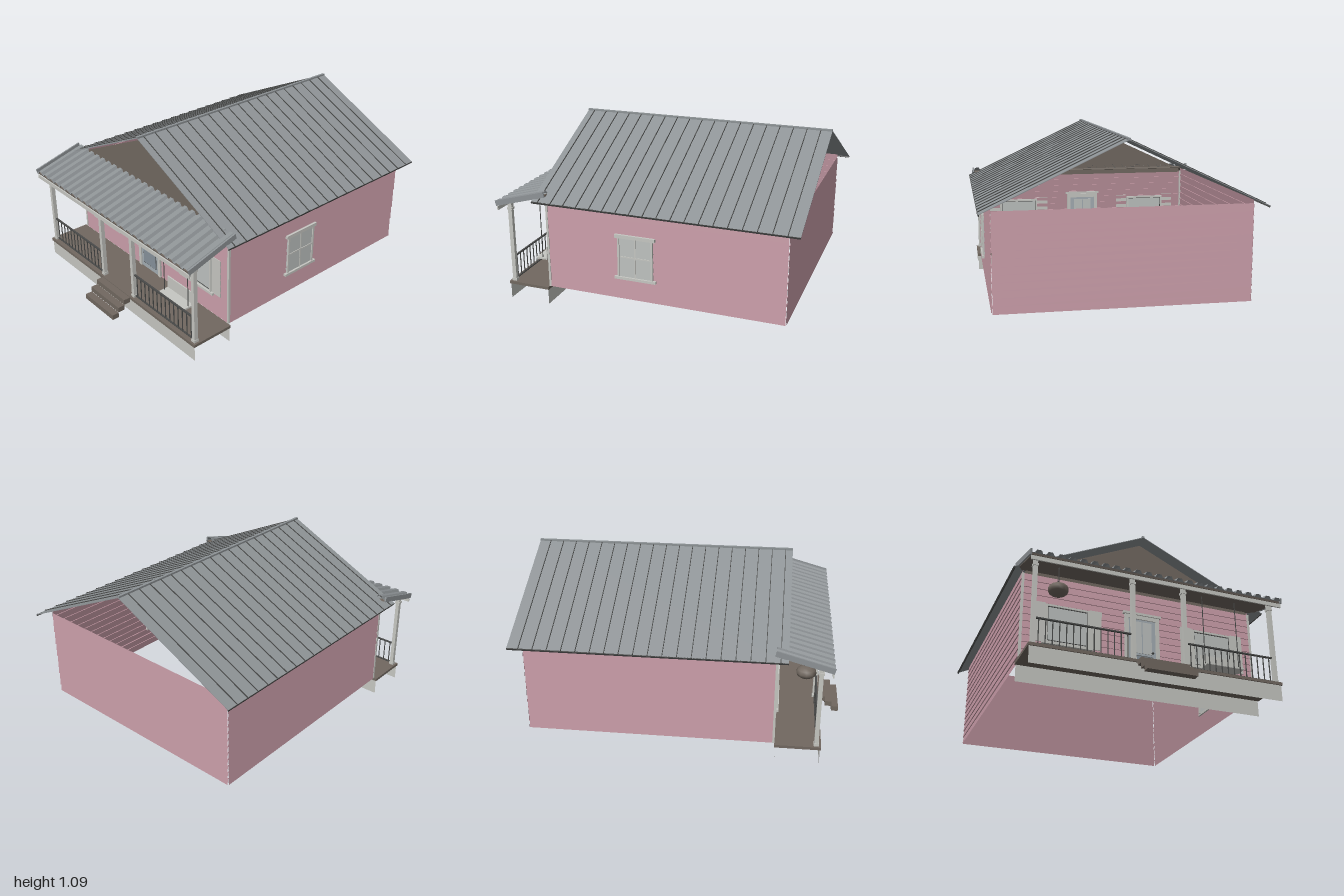
import * as THREE from 'three';

const mat = (name, color, side = THREE.FrontSide) => {
  const m = new THREE.MeshStandardMaterial({ color, side });
  m.name = name;
  return m;
};

export function createModel() {
  const root = new THREE.Group();
  root.name = 'house';
  const pink = mat('pinkSiding', 0xc398a3, THREE.DoubleSide);
  const cream = mat('paleTrim', 0xc6c7c2, THREE.DoubleSide);
  const metal = mat('roofMetal', 0x8e9396, THREE.DoubleSide);
  const dark = mat('darkMetal', 0x4a4b4a);
  const brown = mat('brownWood', 0x716860, THREE.DoubleSide);
  const doorBlue = mat('doorBlueGrey', 0xa4adb3);
  const panelBlue = mat('doorPanel', 0x87929b);
  const glass = mat('windowGlass', 0xbec2c0);

  const add = (parent, name, geo, m, x = 0, y = 0, z = 0) => {
    const mesh = new THREE.Mesh(geo, m);
    mesh.name = name;
    mesh.position.set(x, y, z);
    parent.add(mesh);
    return mesh;
  };
  // box given by its limits
  const box = (parent, name, m, x0, x1, y0, y1, z0, z1) =>
    add(parent, name, new THREE.BoxGeometry(x1 - x0, y1 - y0, z1 - z0), m,
      (x0 + x1) / 2, (y0 + y1) / 2, (z0 + z1) / 2);
  const group = (name, parent = root) => {
    const g = new THREE.Group();
    g.name = name;
    parent.add(g);
    return g;
  };
  // folded sheet: a [y, z] profile, listed from the top, swept along x
  const foldedSheet = (profile, width) => {
    const g = new THREE.PlaneGeometry(width, 1, 1, profile.length - 1);
    const p = g.attributes.position;
    for (let i = 0; i < p.count; i++) {
      const [y, z] = profile[i >> 1];
      p.setY(i, y);
      p.setZ(i, z);
    }
    const flat = g.toNonIndexed();
    flat.computeVertexNormals();
    return flat;
  };

  // lapped siding walls
  const wallX = 0.75, front = 0.58, back = -0.925, floorY = 0.12;
  const siding = (name, width, top, x, z, turn) => {
    const boards = 13, h = (top - floorY) / boards, profile = [];
    for (let i = 0; i < boards; i++) {
      profile.push([top - i * h, 0], [top - (i + 1) * h, 0.006]);
    }
    add(root, name, foldedSheet(profile, width), pink, x, 0, z).rotation.y = turn;
  };
  const midZ = (front + back) / 2, depth = front - back;
  siding('frontWall', wallX * 2, 0.7, 0, front, 0);
  siding('backWall', wallX * 2, 0.7, 0, back, Math.PI);
  siding('leftWall', depth, 0.72, wallX, midZ, Math.PI / 2);
  siding('rightWall', depth, 0.72, -wallX, midZ, -Math.PI / 2);
  for (const s of [-1, 1]) {
    add(root, 'cornerTrim', new THREE.BoxGeometry(0.014, 0.58, 0.014), cream, s * wallX, 0.41, front);
  }

  // front gable
  const tri = new THREE.Shape([[-0.74, 0.69], [0.74, 0.69], [0.74, 0.715], [0, 1.06], [-0.74, 0.715]]
    .map(([x, y]) => new THREE.Vector2(x, y)));
  add(root, 'frontGable', new THREE.ShapeGeometry(tri), brown, 0, 0, front);

  // main roof with standing seams
  const run = 0.82, rise = 0.387, slopeLen = Math.hypot(run, rise), roofZ = -0.1775;
  for (const s of [-1, 1]) {
    const slope = group('roofSlope');
    slope.position.set(s * run / 2, 1.082 - rise / 2, 0);
    slope.rotation.z = -s * Math.atan2(rise, run);
    add(slope, 'roofSheet', new THREE.BoxGeometry(slopeLen, 0.004, 1.645), metal, 0, 0, roofZ);
    for (let i = 0; i < 19; i++) {
      add(slope, 'roofSeam', new THREE.BoxGeometry(slopeLen, 0.006, 0.004), dark, 0, 0.004, -0.93 + i * 0.085);
    }
    add(slope, 'eaveEdge', new THREE.BoxGeometry(0.006, 0.012, 1.645), dark, s * slopeLen / 2, -0.004, roofZ);
  }
  box(root, 'ridgeCap', metal, -0.008, 0.008, 1.08, 1.092, -1, 0.645);

  // porch deck, skirts and steps
  box(root, 'porchDeck', brown, -0.775, 0.775, 0.1, 0.118, 0.585, 0.865);
  for (const z of [0.59, 0.858]) {
    add(root, 'porchSkirt', new THREE.PlaneGeometry(1.54, 0.1), cream, 0, 0.05, z);
  }
  for (let i = 0; i < 3; i++) {
    const y = 0.007 + i * 0.036, z = 0.955 - i * 0.045;
    box(root, 'step', brown, -0.15, 0.15, y, y + 0.034, z, z + 0.045);
  }

  // posts
  for (const x of [-0.747, -0.162, 0.162, 0.747]) {
    const post = group('porchPost');
    box(post, 'postShaft', cream, x - 0.012, x + 0.012, 0.118, 0.655, 0.823, 0.849);
    box(post, 'postBase', cream, x - 0.015, x + 0.015, 0.118, 0.135, 0.82, 0.852);
    box(post, 'postCap', cream, x - 0.016, x + 0.016, 0.6, 0.615, 0.819, 0.853);
  }

  // railings
  for (const s of [-1, 1]) {
    const rail = group('railing');
    add(rail, 'topRail', new THREE.BoxGeometry(0.56, 0.008, 0.012), dark, s * 0.455, 0.281, 0.836);
    add(rail, 'bottomRail', new THREE.BoxGeometry(0.56, 0.006, 0.01), dark, s * 0.455, 0.128, 0.836);
    for (let i = 0; i < 14; i++) {
      add(rail, 'baluster', new THREE.BoxGeometry(0.005, 0.155, 0.005), dark, s * (0.195 + i * 0.04), 0.203, 0.836);
    }
  }

  // corrugated porch roof
  const porchRoof = group('porchRoof');
  porchRoof.position.set(0, 0.69, 0.74);
  porchRoof.rotation.x = 0.273;
  const waves = [], pitch = 1.58 / 24;
  for (let i = 0; i < 24; i++) {
    const u = 0.79 - i * pitch;
    waves.push([u, 0], [u - pitch * 0.3, 0], [u - pitch * 0.45, 0.018], [u - pitch * 0.85, 0.018]);
  }
  waves.push([-0.79, 0]);
  const tin = foldedSheet(waves, 0.35);
  tin.rotateZ(Math.PI / 2);
  tin.rotateX(-Math.PI / 2);
  add(porchRoof, 'corrugatedSheet', tin, metal, 0, 0, 0);
  box(porchRoof, 'porchCeiling', brown, -0.785, 0.785, -0.014, -0.003, -0.172, 0.172);
  for (const s of [-1, 1]) {
    add(porchRoof, 'sideFascia', new THREE.BoxGeometry(0.01, 0.034, 0.352), metal, s * 0.793, 0.003, 0);
  }
  box(root, 'frontFascia', cream, -0.79, 0.79, 0.6, 0.625, 0.898, 0.906);

  // window facing +z, centred on x = 0 of its group
  const windowUnit = (name, w, y0, y1, mullions) => {
    const g = group(name), h = w / 2, t = 0.012;
    box(g, 'pane', glass, -h, h, y0, y1, -0.008, 0.01);
    for (const s of [-1, 1]) {
      add(g, 'jamb', new THREE.BoxGeometry(t, y1 - y0, 0.034), cream, s * (h - t / 2), (y0 + y1) / 2, 0);
    }
    box(g, 'head', cream, -h, h, y1 - t, y1, -0.017, 0.017);
    box(g, 'sill', cream, -h - 0.02, h + 0.02, y0 - 0.012, y0 + 0.004, -0.01, 0.022);
    if (mullions) {
      box(g, 'mullion', cream, -0.004, 0.004, y0, y1, -0.012, 0.014);
      box(g, 'meetingRail', cream, -h, h, (y0 + y1) / 2 - 0.004, (y0 + y1) / 2 + 0.004, -0.012, 0.014);
    } else {
      // dark gasket around the fixed pane
      for (const s of [-1, 1]) {
        add(g, 'gasket', new THREE.BoxGeometry(0.004, y1 - y0 - 0.024, 0.024), dark, s * (h - 0.014), (y0 + y1) / 2, 0);
        add(g, 'gasket', new THREE.BoxGeometry(w - 0.024, 0.004, 0.024), dark, 0, (y0 + y1) / 2 + s * ((y1 - y0) / 2 - 0.014), 0);
      }
    }
    return g;
  };
  for (const x of [-0.472, 0.472]) {
    const w = windowUnit('frontWindow', 0.27, 0.27, 0.515, false);
    w.position.set(x, 0, front);
    for (const s of [-1, 1]) {
      box(w, 'shutter', cream, s * 0.174 - 0.039, s * 0.174 + 0.039, 0.27, 0.525, 0.003, 0.009);
    }
  }
  const sideWindow = windowUnit('sideWindow', 0.226, 0.265, 0.53, true);
  box(sideWindow, 'windowHeader', cream, -0.128, 0.128, 0.518, 0.54, 0, 0.02);
  sideWindow.position.set(wallX, 0, -0.005);
  sideWindow.rotation.y = Math.PI / 2;

  // front door
  const door = group('frontDoor');
  door.position.z = front;
  box(door, 'doorLeaf', doorBlue, -0.09, 0.09, 0.12, 0.525, -0.01, 0.01);
  box(door, 'doorGlass', glass, -0.062, 0.062, 0.295, 0.505, -0.013, 0.013);
  box(door, 'doorMullion', doorBlue, -0.003, 0.003, 0.295, 0.505, -0.015, 0.015);
  box(door, 'panelBorder', dark, -0.066, 0.066, 0.152, 0.28, -0.012, 0.012);
  box(door, 'lowerPanel', panelBlue, -0.062, 0.062, 0.156, 0.276, -0.014, 0.014);
  for (const s of [-1, 1]) {
    add(door, 'doorJamb', new THREE.BoxGeometry(0.024, 0.41, 0.034), cream, s * 0.1, 0.325, 0);
  }
  box(door, 'doorHead', cream, -0.112, 0.112, 0.52, 0.548, -0.017, 0.017);
  box(door, 'doorCornice', cream, -0.123, 0.123, 0.545, 0.56, -0.01, 0.024);
  add(door, 'doorKnob', new THREE.SphereGeometry(0.008, 10, 8), dark, 0.066, 0.305, 0.018);

  // hanging lantern
  const lantern = group('lantern');
  lantern.position.set(-0.585, 0.525, 0.755);
  const globe = new THREE.SphereGeometry(0.062, 10, 6);
  globe.scale(1, 0.65, 1);
  add(lantern, 'lanternGlobe', globe, brown);
  for (const z of [-0.01, 0.01]) {
    add(lantern, 'lanternCord', new THREE.BoxGeometry(0.003, 0.12, 0.003), dark, 0, 0.09, z);
  }

  // porch swing
  const swing = group('porchSwing');
  box(swing, 'swingSeat', cream, 0.33, 0.575, 0.204, 0.215, 0.7, 0.78);
  box(swing, 'swingBack', cream, 0.33, 0.575, 0.215, 0.295, 0.696, 0.704);
  for (const x of [0.341, 0.566]) {
    box(swing, 'swingCord', dark, x - 0.002, x + 0.002, 0.21, 0.69, 0.734, 0.738);
  }
  return root;
}
